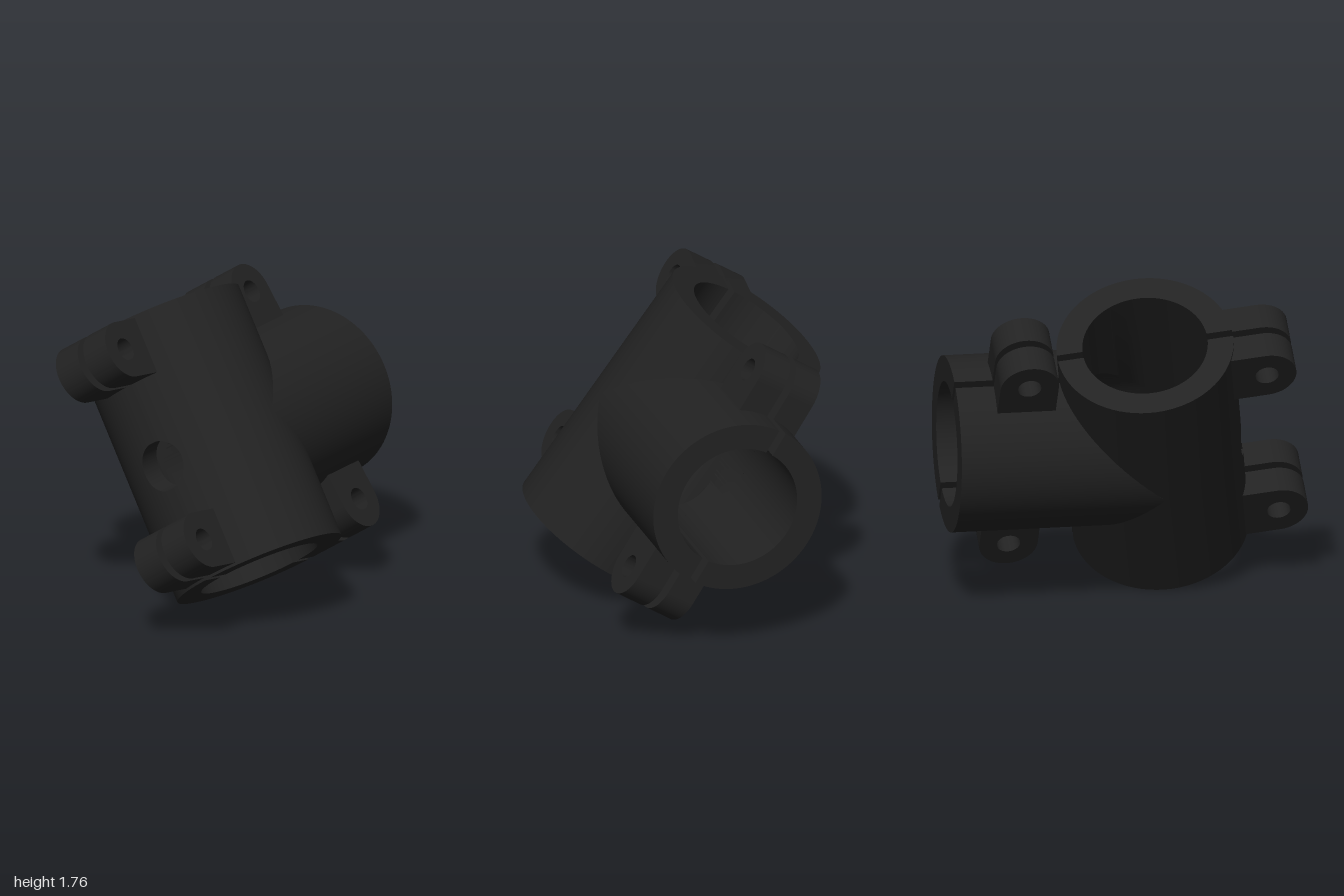
import * as THREE from 'three';
import { toCreasedNormals } from 'three/addons/utils/BufferGeometryUtils.js';

const OUTER = 0.48, BORE = 0.34;           // tube radii
const GAP = 0.021;                         // half width of the split
const PORT = 0.136;                        // radius of the front hole
const HALF = 0.737;                        // half length of the main tube
const LEAN = -0.149, MAIN_Z = 0.13;        // lean and offset of the main tube
const LUG_R = 0.16, LUG_OUT = 0.185, LUG_REACH = 0.632, LUG_BASE = 0.42;

const material = new THREE.MeshStandardMaterial({ color: 0x222222 });

function addMesh(parent, name, geometry) {
  const mesh = new THREE.Mesh(toCreasedNormals(geometry, 0.6), material);
  mesh.name = name;
  parent.add(mesh);
  return mesh;
}

// Solid swept through four-cornered sections, with both ends closed.
function sweep(sections, flip) {
  const pos = [];
  const tri = (a, b, c) => {
    for (const p of flip ? [a, c, b] : [a, b, c]) pos.push(...p);
  };
  for (let i = 0; i < sections.length - 1; i++) {
    const p = sections[i], q = sections[i + 1];
    for (let k = 0; k < 4; k++) {
      const m = (k + 1) % 4;
      tri(p[k], q[k], p[m]);
      tri(q[k], q[m], p[m]);
    }
  }
  const a = sections[0], b = sections[sections.length - 1];
  tri(a[0], a[1], a[2]); tri(a[0], a[2], a[3]);
  tri(b[0], b[2], b[1]); tri(b[0], b[3], b[2]);
  const geometry = new THREE.BufferGeometry();
  geometry.setAttribute('position', new THREE.Float32BufferAttribute(pos, 3));
  return geometry;
}

// Angles from the front split to the back split, denser around the two holes.
function mainAngles(r) {
  const list = [], steps = 24;
  const around = (R, t) => {
    const start = Math.asin(GAP / R);
    return Math.asin(Math.min(1, R * Math.sin(start + (Math.PI / 2 - start) * t) / r));
  };
  for (let i = 0; i <= steps; i++) list.push(around(PORT, i / steps));
  const from = list[steps], to = Math.PI - around(BORE, 1);
  for (let i = 1; i < steps; i++) list.push(from + (to - from) * i / steps);
  for (let i = 0; i <= steps; i++) list.push(Math.PI - around(BORE, 1 - i / steps));
  return list;
}

// A quarter of the main tube: one side of the split, one end of the axis.
function mainQuarter(side, end) {
  const outer = mainAngles(OUTER), inner = mainAngles(BORE);
  const edge = (r, angle) => {
    const n = r * Math.sin(angle), e = r * Math.cos(angle);
    const R = e > 0 ? PORT : BORE;
    const u = end * Math.sqrt(Math.max(0, R * R - n * n));
    const s = (u + e * Math.sin(LEAN)) / Math.cos(LEAN);
    return [[side * n, s, e], [side * n, end * HALF, e]];
  };
  const sections = outer.map((angle, i) => {
    const [o0, o1] = edge(OUTER, angle), [i0, i1] = edge(BORE, inner[i]);
    return [o0, o1, i1, i0];
  });
  return sweep(sections, side * end < 0);
}

// Half of the branch tube, its start shaped to meet the main tube.
function branchHalf(side) {
  const steps = 64, sections = [];
  const edge = (r, depth, t) => {
    const start = Math.asin(GAP / r);
    const angle = start + (Math.PI - 2 * start) * t;
    const n = side * r * Math.sin(angle), u = r * Math.cos(angle);
    const e = -depth * Math.abs(Math.cos(angle));
    const z = MAIN_Z + u * Math.tan(LEAN) + e / Math.cos(LEAN);
    return [[n, u, z], [n, u, -1]];
  };
  for (let i = 0; i <= steps; i++) {
    const [o0, o1] = edge(OUTER, 0.43, i / steps);
    const [i0, i1] = edge(BORE, BORE, i / steps);
    sections.push([o0, o1, i1, i0]);
  }
  return sweep(sections, side < 0);
}

// Round-tipped ear with a bolt hole, pointing along +y.
function lugHalf(side) {
  const shape = new THREE.Shape();
  shape.moveTo(-LUG_R, LUG_BASE);
  shape.lineTo(LUG_R, LUG_BASE);
  shape.lineTo(LUG_R, LUG_REACH);
  shape.absarc(0, LUG_REACH, LUG_R, 0, Math.PI, false);
  shape.closePath();
  const hole = new THREE.Path();
  hole.absarc(0, LUG_REACH, 0.064, 0, Math.PI * 2, true);
  shape.holes.push(hole);
  const geometry = new THREE.ExtrudeGeometry(shape, {
    depth: LUG_OUT - GAP, bevelEnabled: false, curveSegments: 24,
  });
  geometry.translate(0, 0, side > 0 ? GAP : -LUG_OUT);
  geometry.rotateY(Math.PI / 2);
  return geometry;
}

function clampLug(name) {
  const lug = new THREE.Group();
  lug.name = name;
  for (const side of [1, -1]) addMesh(lug, side > 0 ? 'leftEar' : 'rightEar', lugHalf(side));
  return lug;
}

export function createModel() {
  const model = new THREE.Group();
  model.name = 'pipeClampTee';

  // Local x crosses the split, local y runs along it.
  const body = new THREE.Group();
  body.name = 'clampBody';
  body.position.y = 0.879;
  body.rotation.z = 0.567;
  model.add(body);

  const main = new THREE.Group();
  main.name = 'mainTube';
  main.position.z = MAIN_Z;
  main.rotation.x = LEAN;
  const branch = new THREE.Group();
  branch.name = 'branchTube';
  body.add(main, branch);

  for (const side of [1, -1]) {
    const label = side > 0 ? 'left' : 'right';
    for (const end of [1, -1]) {
      addMesh(main, label + (end > 0 ? 'UpperShell' : 'LowerShell'), mainQuarter(side, end));
    }
    addMesh(branch, label + 'BranchShell', branchHalf(side));
  }

  // Two lugs at the front of the main tube, two on either side of the branch.
  for (const end of [1, -1]) {
    const label = end > 0 ? 'upper' : 'lower';
    const front = clampLug(label + 'FrontLug');
    front.rotation.x = Math.PI / 2;
    front.position.y = end * 0.562;
    main.add(front);

    const back = clampLug(label + 'BranchLug');
    back.rotation.x = end > 0 ? 0 : Math.PI;
    back.position.z = -0.63;
    branch.add(back);
  }
  return model;
}
